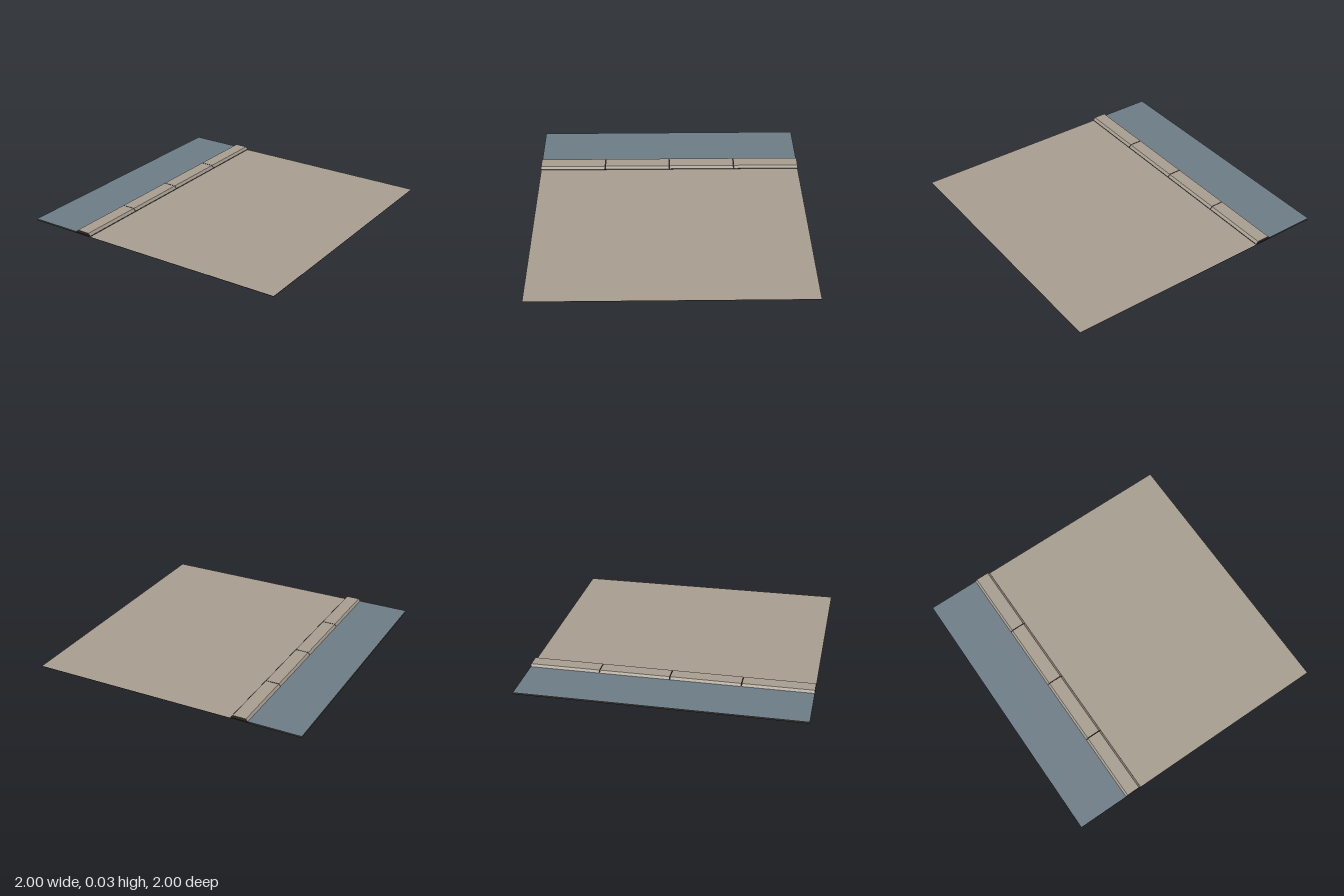
import * as THREE from 'three';

export function createModel() {
  const group = new THREE.Group();
  const flat = (name, color, side = THREE.FrontSide) => {
    const m = new THREE.MeshStandardMaterial({ color, side });
    m.name = name;
    return m;
  };
  const stone = flat('warm grey paving', 0xa69c8f, THREE.DoubleSide);
  const asphalt = flat('blue grey roadway', 0x6c7b85, THREE.DoubleSide);
  const earth = flat('dark earth', 0x2e2822, THREE.DoubleSide);

  const add = (name, geometry, material) => {
    const mesh = new THREE.Mesh(geometry, material);
    mesh.name = name;
    group.add(mesh);
    return mesh;
  };

  // Flat sheet between two x positions, running the full depth
  const sheet = (name, x0, x1, y, material) =>
    add(name, new THREE.PlaneGeometry(x1 - x0, 2).rotateX(-Math.PI / 2).translate((x0 + x1) / 2, y, 0), material);

  sheet('groundUnderside', -1, 1, 0, earth);
  sheet('pavement', -0.5, 1, 0.004, stone);
  sheet('roadway', -1, -0.615, 0.01, asphalt);

  // Dark joint strips along both feet of the kerb
  for (const [name, x] of [['roadJoint', -0.622], ['pavementJoint', -0.496]]) {
    add(name, new THREE.PlaneGeometry(2, 0.009).rotateY(Math.PI / 2).translate(x, 0.0045, 0), earth);
  }

  // Four kerb stones with sloped sides and narrow joints between them
  const profile = new THREE.Shape([
    new THREE.Vector2(-0.622, 0.008),
    new THREE.Vector2(-0.496, 0.008),
    new THREE.Vector2(-0.511, 0.027),
    new THREE.Vector2(-0.607, 0.027),
  ]);
  const gap = 0.004;
  for (let i = 0; i < 4; i++) {
    const z0 = -1 + i * 0.5 + (i > 0 ? gap / 2 : 0);
    const z1 = -0.5 + i * 0.5 - (i < 3 ? gap / 2 : 0);
    const stoneGeometry = new THREE.ExtrudeGeometry(profile, { depth: z1 - z0, bevelEnabled: false });
    add('kerbStone' + (i + 1), stoneGeometry.translate(0, 0, z0), [earth, stone]);
  }
  return group;
}
